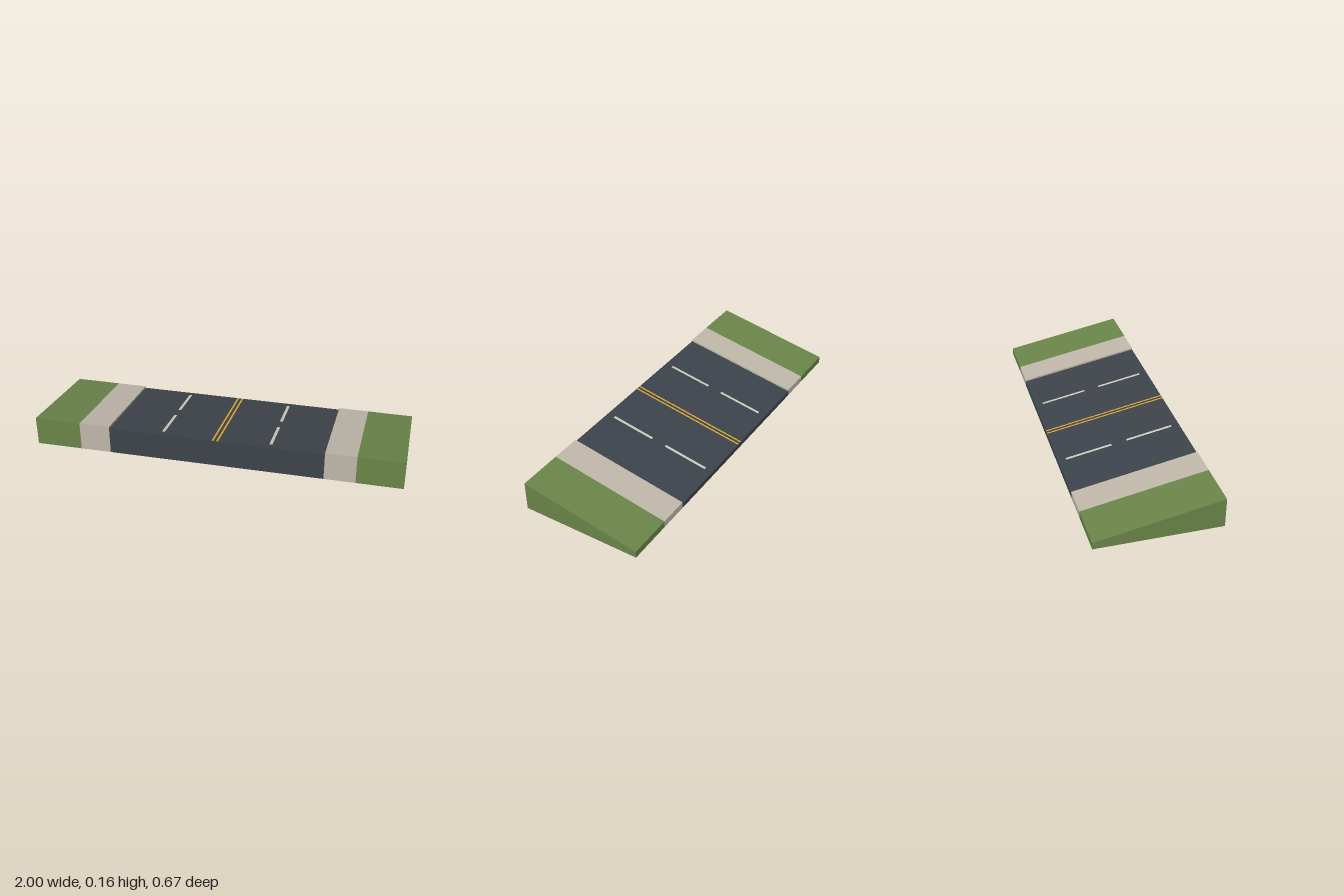
import * as THREE from 'three';

const HALF_DEPTH = 1 / 3;
const CURB = 0.01; // step from pavement down to road

// Height of the sloping surface at a given z
const slope = (z) => 0.1 + z * 0.1875;

const material = (name, color) =>
  new THREE.MeshStandardMaterial({ name, color, side: THREE.DoubleSide });

// Separate flat quads, corners counter-clockwise from outside
function quads(name, mat, list) {
  const pos = [];
  for (const [a, b, c, d] of list) pos.push(...a, ...b, ...c, ...a, ...c, ...d);
  const geo = new THREE.BufferGeometry();
  geo.setAttribute('position', new THREE.Float32BufferAttribute(pos, 3));
  geo.computeVertexNormals();
  const mesh = new THREE.Mesh(geo, mat);
  mesh.name = name;
  return mesh;
}

// Sloping quad lying at an offset from the slope
function topQuad(x0, x1, z0, z1, lift) {
  const f = slope(z1) + lift, b = slope(z0) + lift;
  return [[x0, f, z1], [x1, f, z1], [x1, b, z0], [x0, b, z0]];
}

// Open-bottomed strip: top, front wall and back wall
function strip(x0, x1, lift) {
  const z = HALF_DEPTH, f = slope(z) + lift, b = slope(-z) + lift;
  return [
    topQuad(x0, x1, -z, z, lift),
    [[x0, 0, z], [x1, 0, z], [x1, f, z], [x0, f, z]],
    [[x1, 0, -z], [x0, 0, -z], [x0, b, -z], [x1, b, -z]],
  ];
}

// Wall along z from the ground to the slope, facing +x or -x
function sideWall(x, facing) {
  const z = HALF_DEPTH, f = slope(z), b = slope(-z);
  const wall = [[x, 0, z], [x, 0, -z], [x, b, -z], [x, f, z]];
  return facing > 0 ? wall : wall.reverse();
}

export function createModel() {
  const asphalt = material('asphalt', 0x3d434a);
  const concrete = material('concrete', 0xbfb7aa);
  const grass = material('grass', 0x6a8549);
  const yellow = material('yellow paint', 0xe0a830);
  const white = material('white paint', 0xcfcabd);

  const model = new THREE.Group();
  model.name = 'slopedRoad';
  model.add(quads('road', asphalt, strip(-0.583, 0.583, -CURB)));

  const paint = -CURB + 0.002;
  for (const s of [-1, 1]) {
    const side = s > 0 ? 'left' : 'right';
    const span = (a, b) => (s > 0 ? [a, b] : [-b, -a]);

    // Pavement with its curb face, and the grass verge with its outer wall
    model.add(quads(side + 'Pavement', concrete,
      [...strip(...span(0.583, 0.75), 0), sideWall(s * 0.583, -s)]));
    model.add(quads(side + 'Verge', grass,
      [...strip(...span(0.75, 1), 0), sideWall(s, s)]));

    // Centre line and lane dashes
    model.add(quads(side + 'CentreLine', yellow,
      [topQuad(...span(0.0075, 0.0175), -HALF_DEPTH, HALF_DEPTH, paint)]));
    model.add(quads(side + 'LaneDashes', white, [-1 / 6, 1 / 6].map((z) =>
      topQuad(...span(0.284, 0.3), z - 0.125, z + 0.125, paint))));
  }
  return model;
}
